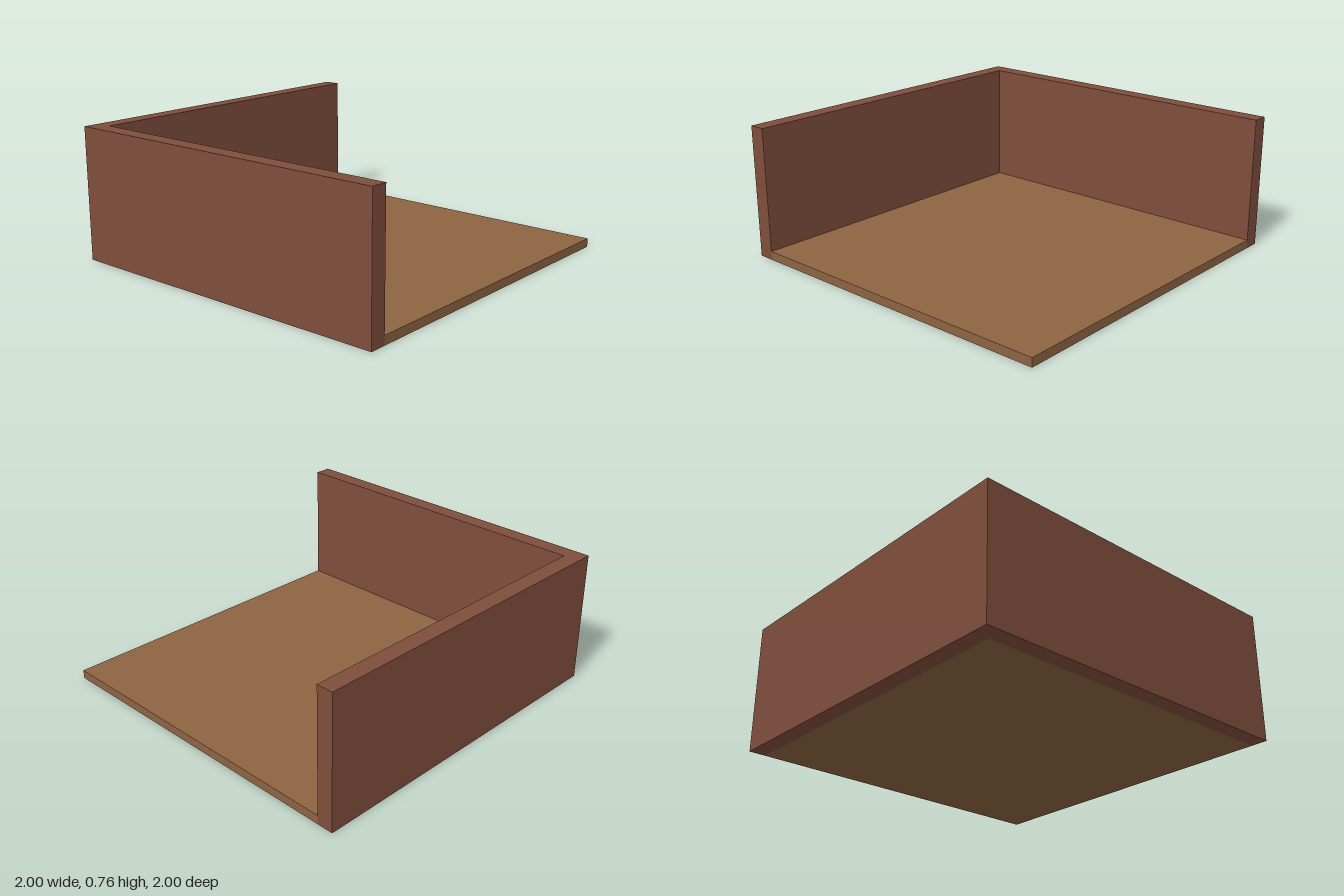
import * as THREE from 'three';

export function createModel() {
  const model = new THREE.Group();
  model.name = 'cornerRoom';

  const brick = new THREE.MeshStandardMaterial({ color: 0x7f4e3c });
  brick.name = 'reddish brown wall';
  const wood = new THREE.MeshStandardMaterial({ color: 0x8d6442 });
  wood.name = 'tan floor';

  const height = 0.76, inner = 0.905, floorHeight = 0.05;

  // L-shaped wall along the front and the -x side, drawn in plan (shape y = -z)
  const plan = new THREE.Shape([
    [-1, -1], [1, -1], [1, -inner], [-inner, -inner], [-inner, 1], [-1, 1],
  ].map(([x, y]) => new THREE.Vector2(x, y)));
  const wallGeometry = new THREE.ExtrudeGeometry(plan, { depth: height, bevelEnabled: false });
  wallGeometry.rotateX(-Math.PI / 2);
  const walls = new THREE.Mesh(wallGeometry, brick);
  walls.name = 'cornerWalls';
  model.add(walls);

  // Floor slab filling the inside of the corner
  const size = 1 + inner;
  const floor = new THREE.Mesh(new THREE.BoxGeometry(size, floorHeight, size), wood);
  floor.name = 'floor';
  floor.position.set((1 - inner) / 2, floorHeight / 2, -(1 - inner) / 2);
  model.add(floor);

  return model;
}
